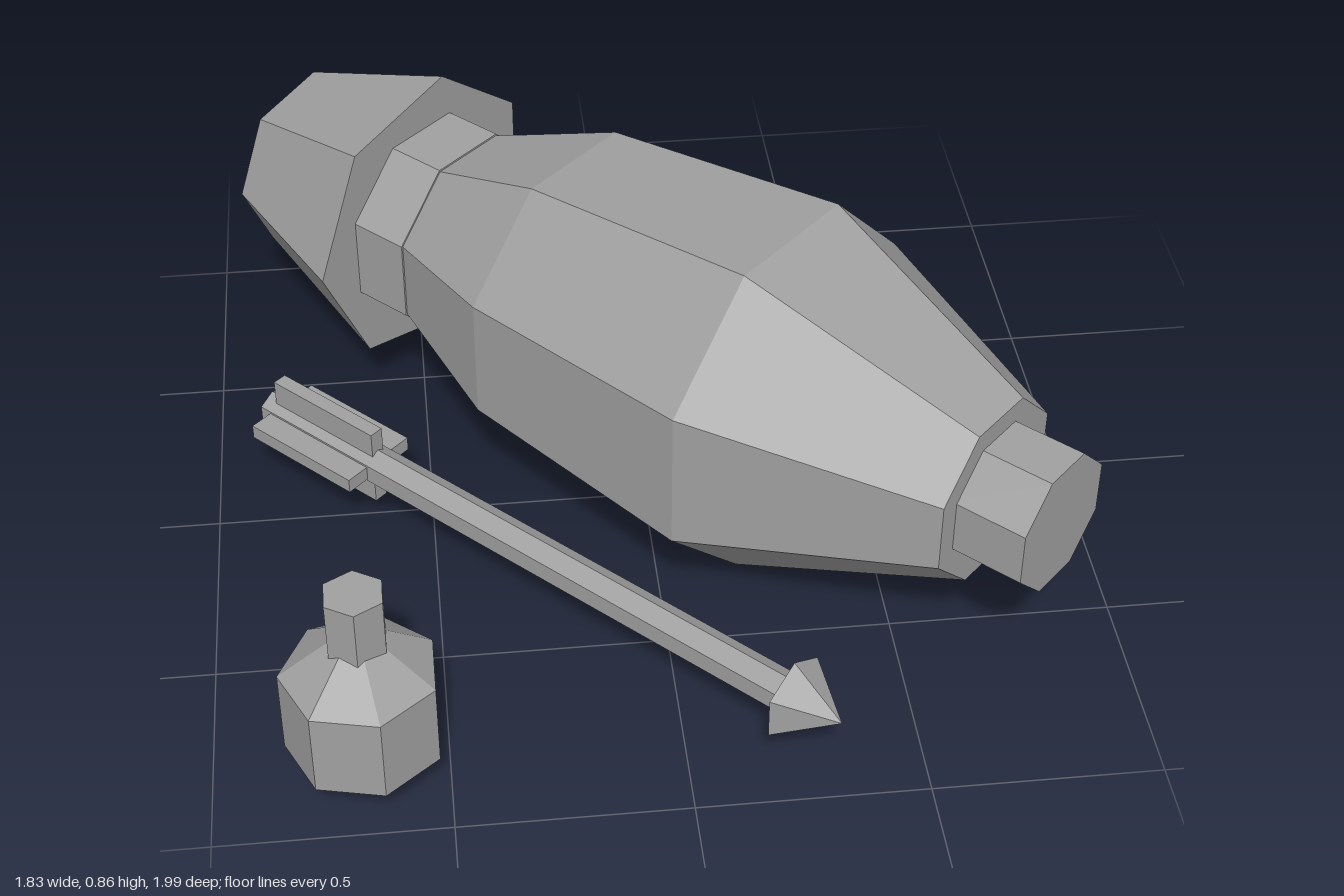
import * as THREE from 'three';

const grey = new THREE.MeshStandardMaterial({ color: 0xa0a0a0, flatShading: true });
grey.name = 'grey';

// Faceted solid of revolution from [radius, height] pairs, closed at both ends
function turned(name, profile, sides, startAngle) {
  const pts = [[0, profile[0][1]], ...profile, [0, profile[profile.length - 1][1]]]
    .map(([r, h]) => new THREE.Vector2(r, h));
  const mesh = new THREE.Mesh(new THREE.LatheGeometry(pts, sides, startAngle), grey);
  mesh.name = name;
  return mesh;
}

// The same solid lying along local z
function lying(name, profile, sides, startAngle) {
  const mesh = turned(name, profile, sides, startAngle);
  mesh.geometry.rotateX(Math.PI / 2);
  return mesh;
}

// Octagon with flat sides: radius from half width
const oct = (w, h) => [w / Math.cos(Math.PI / 8), h];

export function createModel() {
  const model = new THREE.Group();
  model.name = 'model';

  // Big bomb lying diagonally
  const bomb = new THREE.Group();
  bomb.name = 'bomb';
  const a = Math.PI / 8;
  bomb.add(
    lying('bombBody', [oct(0.235, -0.59), oct(0.355, -0.261), oct(0.408, 0.347), oct(0.2, 0.895)], 8, a),
    lying('bombNose', [oct(0.15, 0.88), oct(0.15, 1.063)], 8, a),
    lying('bombNeck', [oct(0.24, -0.75), oct(0.24, -0.588)], 8, a),
    lying('bombTail', [[0.224, -1.144], [0.36, -0.736]], 7, -Math.PI / 2),
  );
  bomb.position.set(0.073, 0.45, 0);

  // Arrow alongside the bomb
  const arrow = new THREE.Group();
  arrow.name = 'arrow';
  arrow.add(
    lying('arrowShaft', [[0.045, -0.76], [0.045, 0.78]], 6, 0),
    lying('arrowHead', [[0.097, 0.768], [0, 0.894]], 6, 0),
  );
  for (const [w, h] of [[0.196, 0.035], [0.035, 0.196]]) {
    const fin = new THREE.Mesh(new THREE.BoxGeometry(w, h, 0.312), grey);
    fin.name = 'arrowFin';
    fin.position.z = -0.574;
    arrow.add(fin);
  }
  arrow.position.set(-0.457, 0.17, 0);

  // Both point toward the front left corner
  const diagonal = new THREE.Group();
  diagonal.name = 'bombAndArrow';
  diagonal.add(bomb, arrow);
  diagonal.rotation.y = Math.PI / 4;

  // Small flask with pointed bottom
  const flask = new THREE.Group();
  flask.name = 'flask';
  flask.add(
    turned('flaskBody', [[0.169, 0.1], [0.169, 0.3], [0.06, 0.385]], 7, -Math.PI / 2),
    turned('flaskBase', [[0, 0], [0.169, 0.1]], 7, -Math.PI / 2),
    turned('flaskNeck', [[0.068, 0.36], [0.068, 0.515]], 6, 0),
  );
  flask.position.set(-0.673, 0, 0.826);

  model.add(diagonal, flask);
  return model;
}
